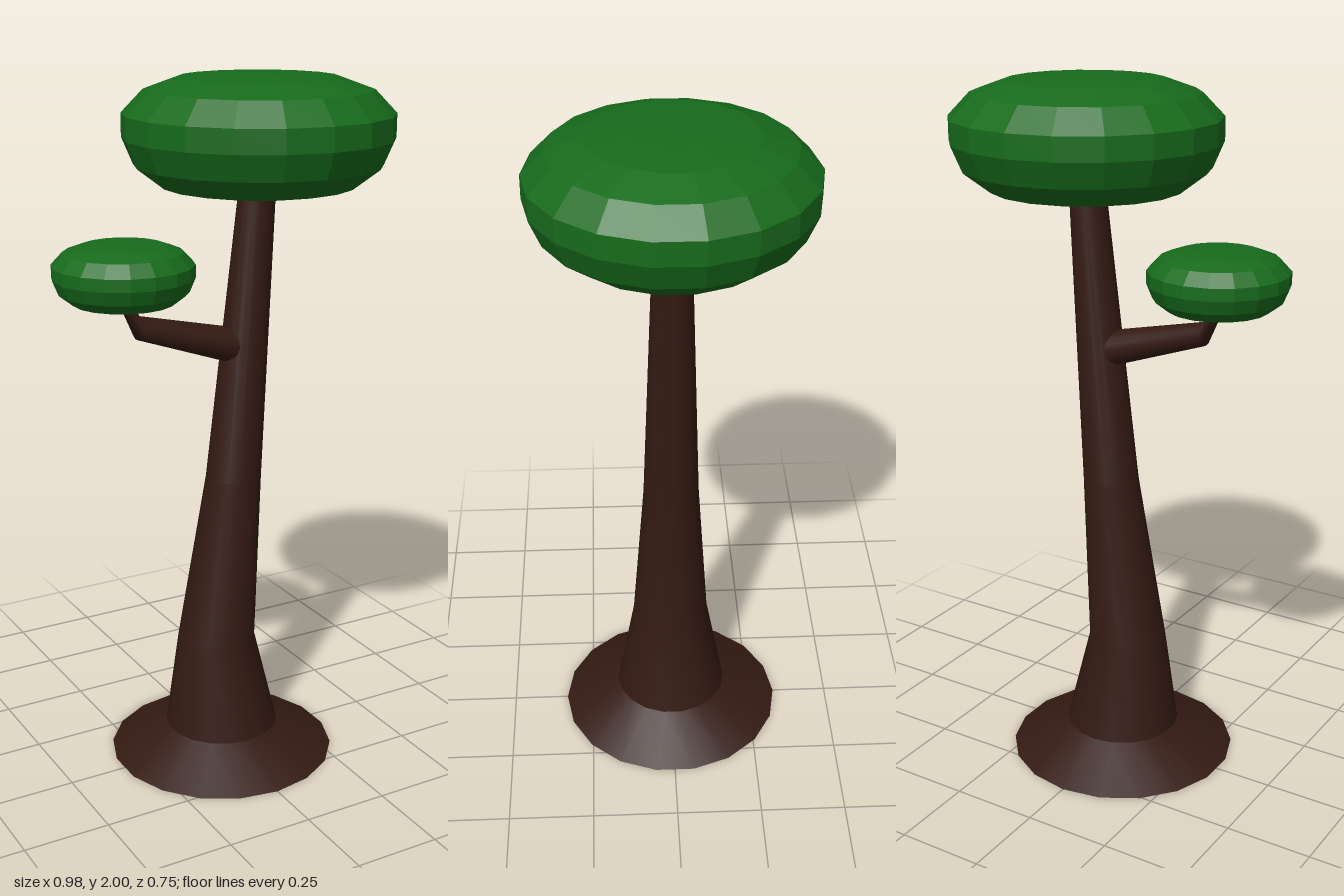
import * as THREE from 'three';

const SIDES = 18;
const bark = new THREE.MeshStandardMaterial({ color: 0x341a13, side: THREE.DoubleSide });
const leaf = new THREE.MeshStandardMaterial({ color: 0x176b1c, flatShading: true });

// Skin through rings given as [x, y, radius, tilt in degrees about z]
function loft(rings) {
  const pos = [], index = [], row = SIDES;
  rings.forEach(([x, y, r, tilt = 0], i) => {
    const t = THREE.MathUtils.degToRad(tilt);
    for (let j = 0; j < SIDES; j++) {
      const a = (j / SIDES) * Math.PI * 2, u = r * Math.sin(a);
      pos.push(x + u * Math.cos(t), y + u * Math.sin(t), r * Math.cos(a));
      if (i === rings.length - 1) continue;
      const k = (j + 1) % SIDES, p = i * row, q = p + row;
      index.push(p + j, p + k, q + j, p + k, q + k, q + j);
    }
  });
  const geo = new THREE.BufferGeometry();
  geo.setAttribute('position', new THREE.Float32BufferAttribute(pos, 3));
  geo.setIndex(index);
  geo.computeVertexNormals();
  return geo;
}

// Flattened cushion of leaves, profile as [radius, height] from bottom to top
function canopyGeometry() {
  const profile = [
    [0, -0.16], [0.17, -0.158], [0.27, -0.14], [0.345, -0.083], [0.376, -0.01],
    [0.376, 0.055], [0.315, 0.118], [0.22, 0.152], [0.11, 0.16], [0, 0.162],
  ];
  return new THREE.LatheGeometry(profile.map(([r, y]) => new THREE.Vector2(r, y)), SIDES);
}

export function createModel() {
  const tree = new THREE.Group();
  tree.name = 'tree';
  const add = (name, geo, mat) => {
    const mesh = new THREE.Mesh(geo, mat);
    mesh.name = name;
    tree.add(mesh);
    return mesh;
  };

  // Flared foot, open underneath
  add('rootFlare', loft([[0, 0, 0.333], [0, 0.083, 0.167]]), bark);

  // Leaning, tapering trunk
  add('trunk', loft([
    [0, 0.083, 0.167], [-0.017, 0.37, 0.113], [0.04, 0.86, 0.08], [0.118, 1.74, 0.05],
  ]), bark);

  // Side branch with an upward bend
  add('branch', loft([
    [0.06, 1.245, 0.052, 80], [-0.262, 1.338, 0.033, 85], [-0.305, 1.44, 0.022, 0],
  ]), bark);

  // Leaf cushions
  add('mainCanopy', canopyGeometry(), leaf).position.set(0.116, 1.838, 0);
  const small = add('branchCanopy', canopyGeometry(), leaf);
  small.position.set(-0.3, 1.488, 0);
  small.scale.set(0.515, 0.53, 0.515);

  return tree;
}
